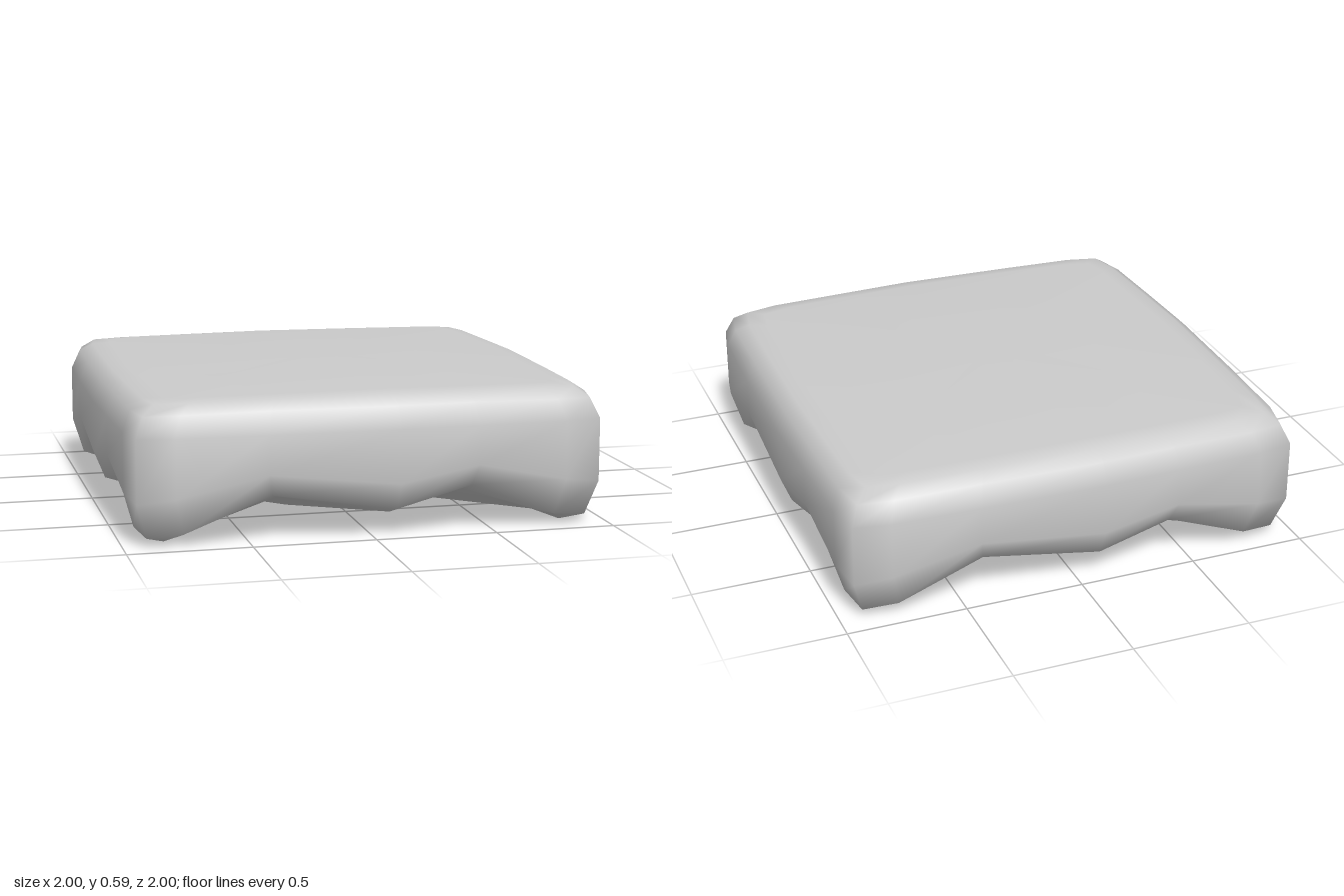
import * as THREE from 'three';

// One quarter of the outline: position along the side, distance out, and column of the height table
const SIDE = [
  [-0.8, 0.98, 1], [-0.43, 0.99, 2], [0.1, 1, 3], [0.43, 0.99, 2], [0.8, 0.98, 1], [0.95, 0.95, 0],
];

// Rings from top to underside: scale, then heights at corner, beside corner, notch, middle
const RINGS = [
  [0.45, 0.585, 0.585, 0.585, 0.59],
  [0.84, 0.57, 0.573, 0.575, 0.578],
  [0.91, 0.56, 0.562, 0.565, 0.567],
  [0.965, 0.52, 0.525, 0.53, 0.53],
  [1, 0.44, 0.44, 0.44, 0.44],
  [1, 0.18, 0.2, 0.28, 0.22],
  [0.955, 0.035, 0.05, 0.19, 0.11],
  [0.87, 0, 0.055, 0.165, 0.08],
  [0.7, 0.16, 0.14, 0.09, 0.055],
  [0.4, 0.06, 0.055, 0.05, 0.047],
];

function cushionGeometry() {
  const positions = [];
  const index = [];
  const n = SIDE.length * 4;

  // Each ring repeats the quarter outline by quarter turns
  for (const [k, ...heights] of RINGS) {
    for (let s = 0; s < 4; s++) {
      for (const [u, d, column] of SIDE) {
        const p = new THREE.Vector3(u * k, heights[column], d * k);
        p.applyAxisAngle(new THREE.Vector3(0, 1, 0), s * Math.PI / 2);
        positions.push(p.x, p.y, p.z);
      }
    }
  }
  const top = RINGS.length * n;
  positions.push(0, 0.593, 0, 0, 0.045, 0);

  // Skin between rings, then the top and underside fans
  for (let i = 0; i < n; i++) {
    const j = (i + 1) % n;
    for (let r = 0; r < RINGS.length - 1; r++) {
      const a = r * n + i, b = r * n + j, c = a + n, d = b + n;
      index.push(a, c, b, b, c, d);
    }
    const last = (RINGS.length - 1) * n;
    index.push(top, i, j, top + 1, last + j, last + i);
  }

  const geometry = new THREE.BufferGeometry();
  geometry.setAttribute('position', new THREE.Float32BufferAttribute(positions, 3));
  geometry.setIndex(index);
  geometry.computeVertexNormals();
  return geometry;
}

export function createModel() {
  const group = new THREE.Group();
  group.name = 'footedSlab';
  const slab = new THREE.Mesh(cushionGeometry(), new THREE.MeshStandardMaterial({ color: 0xcccccc }));
  slab.name = 'slabWithCornerFeet';
  group.add(slab);
  return group;
}
